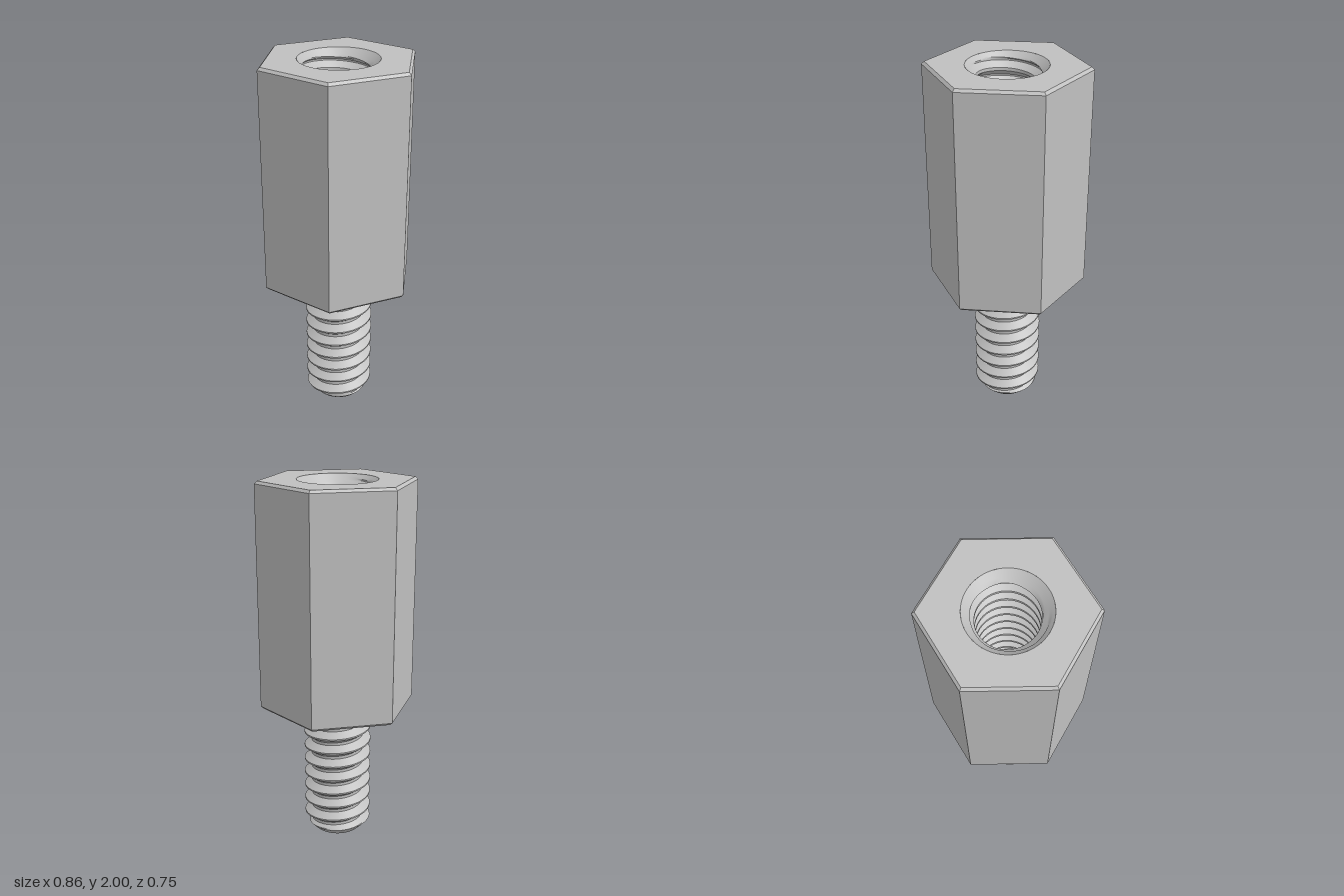
import * as THREE from 'three';
import { toCreasedNormals } from 'three/addons/utils/BufferGeometryUtils.js';

const PITCH = 0.083;
const CREST_Y = 0.72;   // height of one crest on the -x side
const SEGMENTS = 72;
const BODY_BOTTOM = 0.76, TOP = 2, BORE_FLOOR = 1.15;

// V thread height (0 root, 1 crest) over one turn, u in 0..1
function threadHeight(u) {
  if (u < 0.2) return 0;
  if (u < 0.55) return (u - 0.2) / 0.35;
  if (u < 0.65) return 1;
  return (1 - u) / 0.35;
}

// Right-handed helical surface from y0 to y1; radius(height, y) gives its profile
function threadGeometry(y0, y1, radius, inward) {
  const steps = [0, 0.2, 0.29, 0.38, 0.46, 0.55, 0.65, 0.74, 0.82, 0.91];
  const first = Math.floor((y0 - CREST_Y) / PITCH) - 2;
  const last = Math.ceil((y1 - CREST_Y) / PITCH) + 2;
  const positions = [], index = [];
  let rows = 0;
  for (let n = first; n <= last; n++) {
    for (const u of steps) {
      for (let s = 0; s <= SEGMENTS; s++) {
        const turn = s / SEGMENTS, a = (s % SEGMENTS) / SEGMENTS * Math.PI * 2;
        const raw = CREST_Y + PITCH * (n + u - 0.6 + turn);
        const y = THREE.MathUtils.clamp(raw, y0, y1);
        const phase = (y - CREST_Y) / PITCH + 0.6 - turn;
        const local = y === raw ? u : phase - Math.floor(phase);
        const r = radius(threadHeight(local), y);
        positions.push(-r * Math.cos(a), y, r * Math.sin(a));
      }
      rows++;
    }
  }
  const w = SEGMENTS + 1;
  const add = (a, b, c) => {
    const ya = positions[a * 3 + 1], yb = positions[b * 3 + 1], yc = positions[c * 3 + 1];
    if (ya === yb && yb === yc) return;   // beyond either end
    if (inward) index.push(a, c, b); else index.push(a, b, c);
  };
  for (let i = 0; i < rows - 1; i++) {
    for (let s = 0; s < SEGMENTS; s++) {
      const a = i * w + s;
      add(a, a + 1, a + w);
      add(a + 1, a + w + 1, a + w);
    }
  }
  const g = new THREE.BufferGeometry();
  g.setAttribute('position', new THREE.Float32BufferAttribute(positions, 3));
  g.setIndex(index);
  return toCreasedNormals(g, 0.5);
}

export function createModel() {
  const group = new THREE.Group();
  const metal = new THREE.MeshStandardMaterial({ color: 0xc0c0c0 });
  metal.name = 'metal';
  const add = (name, geometry) => {
    const mesh = new THREE.Mesh(geometry, metal);
    mesh.name = name;
    group.add(mesh);
    return mesh;
  };

  // Hexagonal body with chamfered ends
  const profile = [
    [0, BODY_BOTTOM], [0.416, BODY_BOTTOM], [0.431, BODY_BOTTOM + 0.014],
    [0.431, TOP - 0.014], [0.416, TOP],
  ].map(([r, y]) => new THREE.Vector2(r, y));
  const body = new THREE.LatheGeometry(profile, 6, Math.PI / 2).toNonIndexed();
  body.computeVertexNormals();
  add('hexBody', body);

  // Top face around the bore
  const hex = new THREE.Shape();
  for (let i = 0; i < 6; i++) {
    const a = i * Math.PI / 3;
    hex[i ? 'lineTo' : 'moveTo'](0.416 * Math.cos(a), 0.416 * Math.sin(a));
  }
  hex.closePath();
  hex.holes.push(new THREE.Path().absarc(0, 0, 0.212, 0, Math.PI * 2, true));
  const topFace = new THREE.ShapeGeometry(hex, SEGMENTS);
  topFace.rotateX(-Math.PI / 2);
  add('topFace', topFace).position.y = TOP;

  // Threaded bore with countersink and floor
  add('boreThread', threadGeometry(BORE_FLOOR, TOP,
    (h, y) => Math.max(0.155 + 0.033 * h, 0.212 - (TOP - y)), true));
  const floor = new THREE.CircleGeometry(0.19, SEGMENTS);
  floor.rotateX(-Math.PI / 2);
  add('boreFloor', floor).position.y = BORE_FLOOR;

  // Threaded stud with chamfered tip
  add('studThread', threadGeometry(0, BODY_BOTTOM + 0.01,
    (h, y) => Math.min(0.146 + 0.041 * h, 0.13 + y), false));
  const tip = new THREE.CircleGeometry(0.13, SEGMENTS);
  tip.rotateX(Math.PI / 2);
  add('studTip', tip);

  return group;
}
